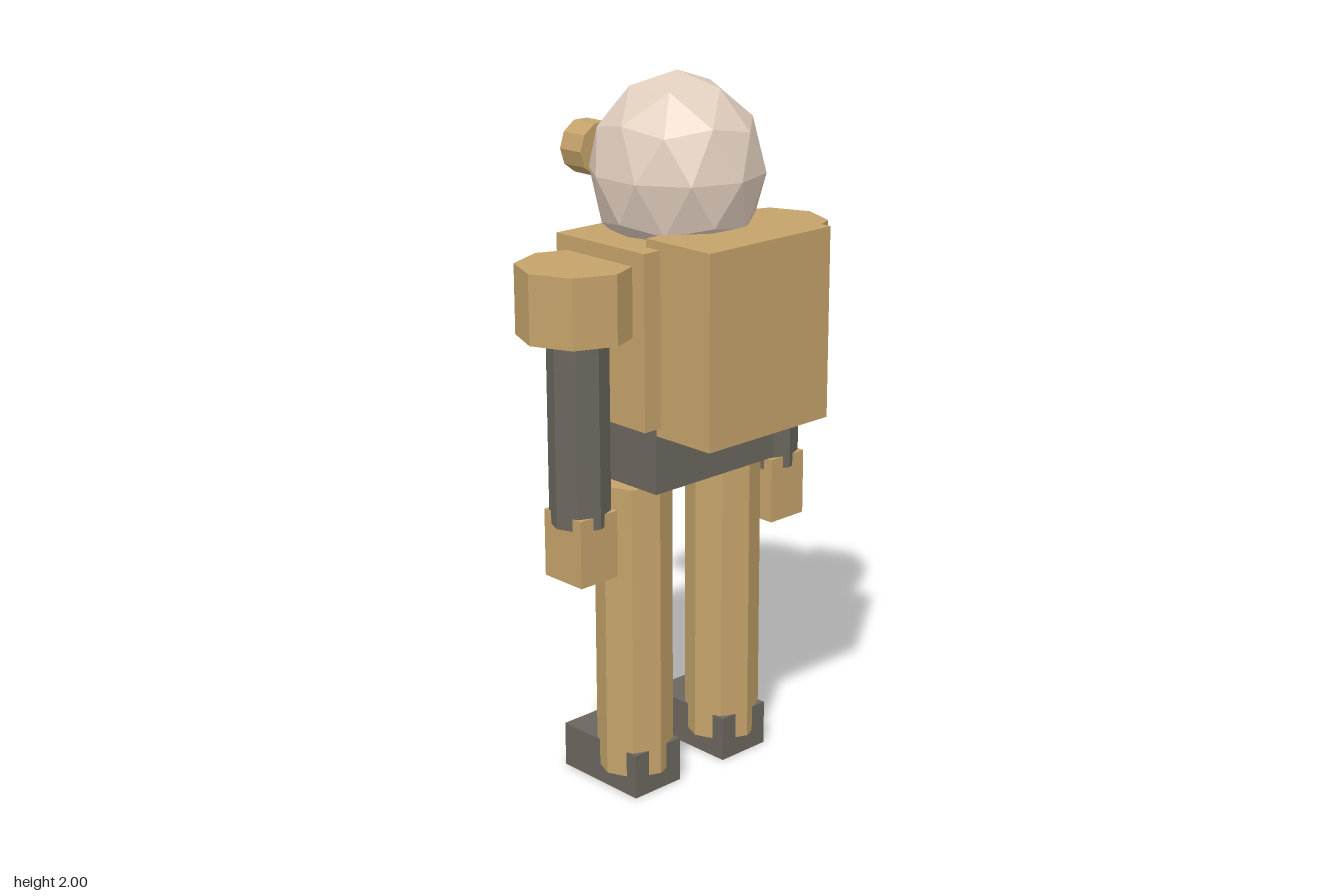
import * as THREE from 'three';

const material = (color) => new THREE.MeshStandardMaterial({ color, flatShading: true });

export function createModel() {
  const model = new THREE.Group();
  const tan = material(0xc4a26a);
  const dark = material(0x6b665e);
  const skin = material(0xe0cdbd);

  const add = (name, geometry, mat) => {
    const mesh = new THREE.Mesh(geometry, mat);
    mesh.name = name;
    model.add(mesh);
    return mesh;
  };

  // Box given by its limits on each axis
  const box = (name, mat, [x0, x1], [y0, y1], [z0, z1]) =>
    add(name, new THREE.BoxGeometry(x1 - x0, y1 - y0, z1 - z0), mat)
      .position.set((x0 + x1) / 2, (y0 + y1) / 2, (z0 + z1) / 2);

  // Upright eight-sided prism
  const prism = (name, mat, radius, x, [y0, y1], z) =>
    add(name, new THREE.CylinderGeometry(radius, radius, y1 - y0, 8), mat)
      .position.set(x, (y0 + y1) / 2, z);

  // Trunk and pack
  box('torso', tan, [-0.28, 0.28], [1.1, 1.58], [-0.21, 0.13]);
  box('pelvis', dark, [-0.225, 0.225], [0.91, 1.1], [-0.185, 0.113]);
  box('backpack', tan, [-0.223, 0.223], [1.075, 1.603], [0.077, 0.312]);

  // Faceted head, turned so that one corner points straight up
  const golden = (1 + Math.sqrt(5)) / 2;
  const ball = new THREE.IcosahedronGeometry(1, 1);
  ball.rotateZ(-Math.atan(1 / golden));
  ball.scale(0.234, 0.265, 0.245);
  add('head', ball, skin).position.set(0, 1.735, -0.04);

  // Mirrored limbs and eyepieces
  for (const [side, s] of [['left', 1], ['right', -1]]) {
    const span = (a, b) => (s > 0 ? [a, b] : [-b, -a]);

    prism(side + 'Shoulder', tan, 0.16, s * 0.363, [1.35, 1.54], -0.04);
    prism(side + 'Arm', dark, 0.083, s * 0.363, [0.83, 1.35], -0.037);
    box(side + 'Hand', tan, span(0.298, 0.428), [0.675, 0.865], [-0.108, 0.038]);
    prism(side + 'Leg', tan, 0.107, s * 0.172, [0.055, 0.91], -0.035);
    box(side + 'Foot', dark, span(0.086, 0.256), [0, 0.13], [-0.24, 0.058]);

    const lens = new THREE.CylinderGeometry(0.0745, 0.0745, 0.083, 10, 1, false, Math.PI / 2);
    lens.rotateX(Math.PI / 2);
    add(side + 'Eyepiece', lens, tan).position.set(s * 0.097, 1.776, -0.274);
  }

  return model;
}
